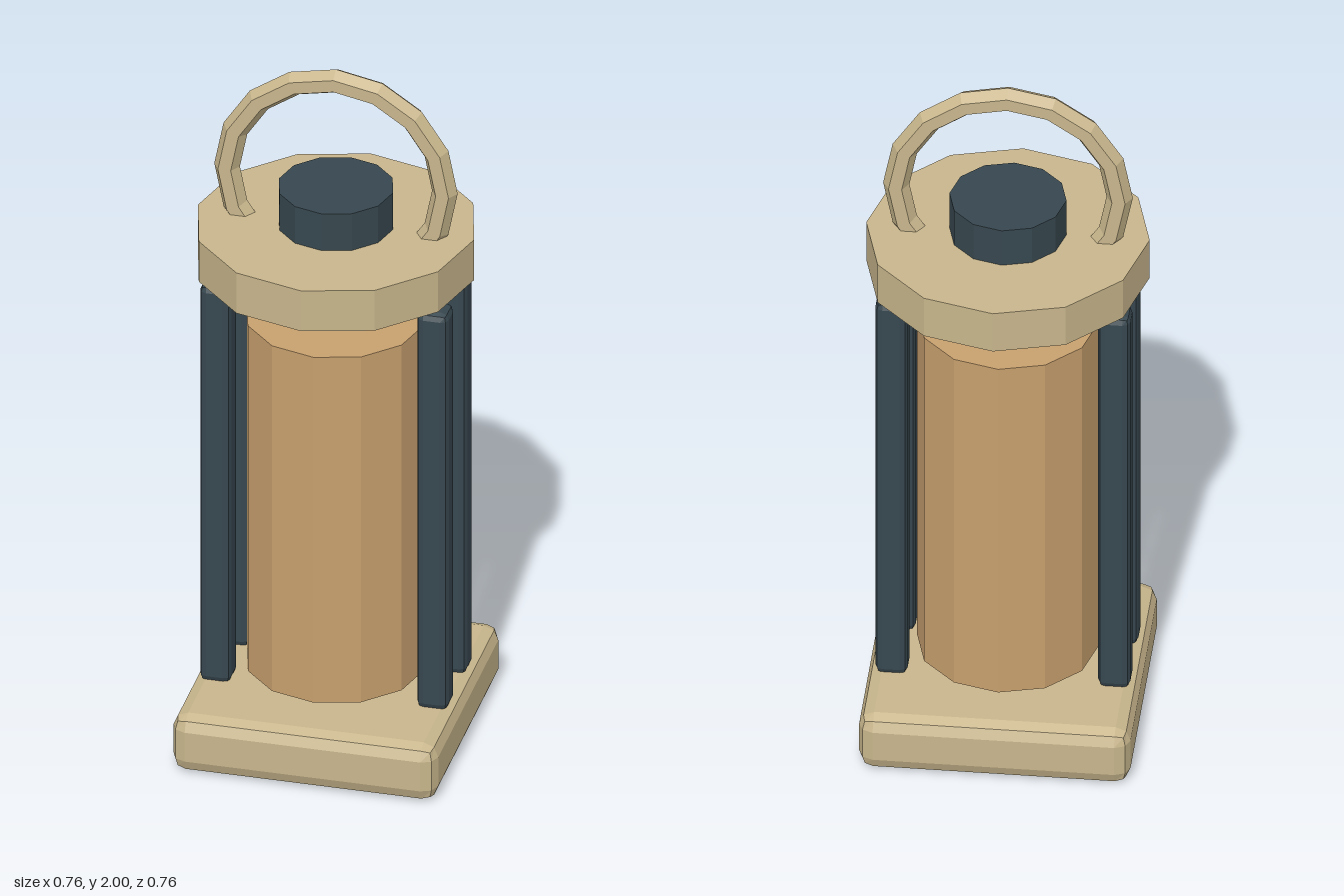
import * as THREE from 'three';
import { RoundedBoxGeometry } from 'three/addons/geometries/RoundedBoxGeometry.js';

export function createModel() {
  const model = new THREE.Group();
  model.name = 'lantern';

  const material = (name, color) => {
    const m = new THREE.MeshStandardMaterial({ color, flatShading: true });
    m.name = name;
    return m;
  };
  const tan = material('tan', 0xc8b68c);
  const wood = material('warm wood', 0xc8a06e);
  const slate = material('dark slate', 0x37474f);

  const add = (name, geometry, mat, x, y, z) => {
    const mesh = new THREE.Mesh(geometry, mat);
    mesh.name = name;
    mesh.position.set(x, y, z);
    model.add(mesh);
    return mesh;
  };

  // Upright twelve-sided drum between two heights
  const drum = (name, radius, bottom, top, mat) =>
    add(name, new THREE.CylinderGeometry(radius, radius, top - bottom, 12), mat, 0, (bottom + top) / 2, 0);

  // Bevelled square base
  add('base', new RoundedBoxGeometry(0.724, 0.168, 0.724, 1, 0.04), tan, 0, 0.084, 0);

  // Body, lid and cap
  drum('body', 0.243, 0.2, 1.255, wood);
  drum('lid', 0.378, 1.41, 1.533, tan);
  drum('cap', 0.156, 1.5, 1.645, slate);

  // Four bevelled posts, two on each side
  for (const sx of [-1, 1]) {
    for (const sz of [-1, 1]) {
      const name = (sz > 0 ? 'front' : 'back') + (sx > 0 ? 'Left' : 'Right') + 'Post';
      add(name, new RoundedBoxGeometry(0.086, 1.21, 0.086, 1, 0.02), slate, sx * 0.297, 0.765, sz * 0.1);
    }
  }

  // Carrying ring that passes through the lid
  add('handleRing', new THREE.TorusGeometry(0.298, 0.035, 6, 16), tan, 0, 1.667, 0);

  return model;
}
